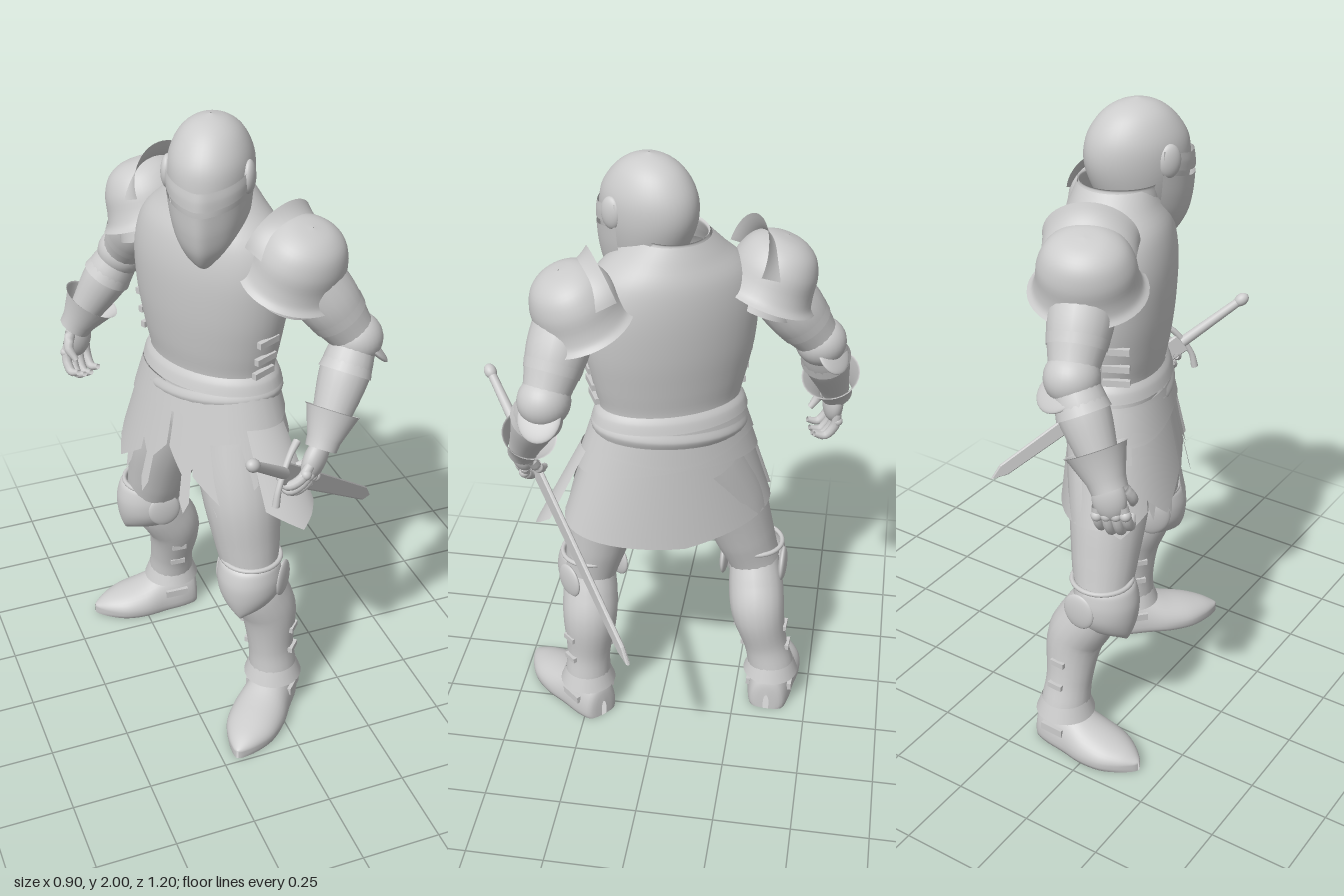
import * as THREE from 'three';

const V = (x, y, z) => new THREE.Vector3(x, y, z);
const mat = new THREE.MeshStandardMaterial({ color: 0xcccccc, side: THREE.DoubleSide });
const TAU = Math.PI * 2;

function add(parent, name, geo, pos) {
  const m = new THREE.Mesh(geo, mat);
  m.name = name;
  if (pos) m.position.copy(pos);
  parent.add(m);
  return m;
}
function group(parent, name, x = 0, y = 0, z = 0, turn = 0) {
  const g = new THREE.Group();
  g.name = name;
  g.position.set(x, y, z);
  g.rotation.y = turn;
  parent.add(g);
  return g;
}
// Grid surface from a rule fn(u, v) -> Vector3
function surf(fn, nu, nv, closed = false) {
  const pos = [], idx = [], cols = closed ? nu : nu + 1;
  for (let j = 0; j <= nv; j++)
    for (let i = 0; i < cols; i++) pos.push(...fn(i / nu, j / nv).toArray());
  for (let j = 0; j < nv; j++)
    for (let i = 0; i < nu; i++) {
      const k = (i + 1) % cols, a = j * cols + i, b = j * cols + k;
      idx.push(a, b, b + cols, a, b + cols, a + cols);
    }
  const g = new THREE.BufferGeometry();
  g.setAttribute('position', new THREE.Float32BufferAttribute(pos, 3));
  g.setIndex(idx);
  g.computeVertexNormals();
  return g;
}
// Smooth interpolation through rows of numbers
function sample(rows, v) {
  const n = rows.length - 1, i = Math.min(Math.floor(v * n), n - 1), t = v * n - i;
  const r = k => rows[Math.max(0, Math.min(n, k))];
  return rows[0].map((_, c) => {
    const p = r(i - 1)[c], q = r(i)[c], s = r(i + 1)[c], w = r(i + 2)[c];
    return q + 0.5 * t * (s - p + t * (2 * p - 5 * q + 4 * s - w + t * (3 * (q - s) + w - p)));
  });
}
// Stacked sections [y, half width, front depth, back depth]; angle 0 is the front
function hull(rows, a0 = 0, a1 = TAU, mod = p => p) {
  return surf((u, v) => {
    const a = a0 + (a1 - a0) * u, [y, w, f, b] = sample(rows, v), c = Math.cos(a);
    return mod(V(w * Math.sin(a), y, c > 0 ? f * c : b * c), a);
  }, 40, 32, a1 - a0 > 6.28);
}
// Round limb through points with a radius at each
function limb(pts, radii, nu = 20, nv = 24) {
  const path = new THREE.CatmullRomCurve3(pts), rr = radii.map(r => [r]);
  return surf((u, v) => {
    const t = path.getTangent(v), ref = Math.abs(t.y) > 0.8 ? V(0, 0, 1) : V(0, 1, 0);
    const n = ref.cross(t).normalize(), b = t.clone().cross(n), r = sample(rr, v)[0];
    return path.getPoint(v).addScaledVector(n, r * Math.cos(u * TAU)).addScaledVector(b, r * Math.sin(u * TAU));
  }, nu, nv, true);
}
function ball(parent, name, p, sx, sy, sz) {
  const m = add(parent, name, new THREE.SphereGeometry(1, 28, 20), p);
  m.scale.set(sx, sy, sz);
  return m;
}
const mix = (a, b, t) => a.clone().lerp(b, t);

function buildHelmet(root) {
  const g = group(root, 'helmet', -0.113, 0, 0.05, -0.55);
  add(g, 'skull', hull([[1.62, .06, .11, .03], [1.67, .088, .145, .085], [1.74, .11, .16, .13], [1.82, .123, .163, .158],
    [1.89, .119, .152, .152], [1.95, .092, .11, .115], [1.985, .052, .06, .063], [2.0, .002, .002, .002]]));
  // Visor plates with a centre ridge; the sight slit climbs toward the sides
  const ridge = lift => (p, a) => V(p.x, p.y + lift * (1 - Math.cos(a)), p.z + .012 * Math.exp(-((a / .3) ** 2)));
  add(g, 'lowerVisor', hull([[1.585, .06, .1, 0], [1.59, .08, .122, 0], [1.64, .104, .155, 0], [1.7, .118, .17, 0], [1.765, .126, .175, 0]], -1.45, 1.45, ridge(.045)));
  add(g, 'upperVisor', hull([[1.782, .128, .175, 0], [1.81, .13, .173, 0], [1.835, .128, .168, 0]], -1.45, 1.45, ridge(.045)));
  for (const s of [-1, 1]) ball(g, 'visorPivot', V(s * .115, 1.84, .045), .02, .05, .036);
}

function buildBody(root) {
  const g = group(root, 'body', -0.09, 0, -0.018, -1.12);
  add(g, 'cuirass', hull([[1.14, .235, .15, .14], [1.21, .225, .15, .13], [1.3, .245, .165, .142], [1.42, .268, .178, .158],
    [1.55, .272, .18, .165], [1.65, .24, .163, .158], [1.72, .17, .13, .135], [1.77, .12, .11, .115]]));
  add(g, 'waistFlange', hull([[1.22, .226, .153, .134], [1.2, .24, .165, .146], [1.17, .25, .175, .155]]));
  add(g, 'gorget', hull([[1.7, .15, .13, .14], [1.735, .125, .125, .125], [1.77, .108, .125, .11], [1.78, .113, .13, .115]]));
  const belt = add(g, 'belt', hull([[-.025, .246, .172, .15], [0, .254, .18, .158], [.025, .246, .172, .15]]), V(0, 1.135, 0));
  belt.rotation.z = .09;
  // Side buckles
  for (const s of [-1, 1]) for (const y of [1.24, 1.29, 1.35])
    add(g, 'sideBuckle', new THREE.BoxGeometry(.016, .02, .08), V(s * (.236 + (y - 1.24) * .17), y, .03));
  // Hip plates hang from the waist and flare with depth
  const plate = (name, a0, a1, top, hem, off, swing = 0) => add(g, name, surf((u, v) => {
    const a = a0 + (a1 - a0) * u, y = top + (hem(u) - top) * v, d = 1.14 - y, c = Math.cos(a);
    return V((.235 + d * (.33 + swing) + off) * Math.sin(a), y, .015 + (.14 + d * (c > 0 ? .23 : .1) + off) * c);
  }, 32, 8));
  const point = u => 1 - Math.abs(2 * u - 1);
  plate('upperFauld', 0, TAU, 1.16, u => 1.06 + .02 * Math.cos(u * TAU * 3), .02);
  plate('lowerFauld', 1.2, TAU - 1.2, 1.09, u => .99 + .04 * point(u), .014);
  plate('backSkirt', 1.2, TAU - 1.2, 1.04, u => .82 - .08 * point(u), 0);
  for (const s of [-1, 1]) {
    plate('hipTasset', s * 1.0, s * 1.75, 1.07, u => .84 - .06 * point(u), .01, s > 0 ? .22 : 0);
    plate('frontTasset', s * .35, s * 1.1, 1.07, u => .9 - .09 * point(u), .014);
    plate('innerTasset', s * .02, s * .45, 1.07, u => .96 - .08 * point(u), .006);
    for (const a of [.2, .55, .85])
      plate('hangingStrip', s * a, s * (a + .11), 1.05, u => .79 + a * .06 - .04 * point(u), 0);
  }
  // Shoulder guards: tilted bells with a raised inner crest, higher on the right
  for (const s of [-1, 1]) {
    const p = group(g, s > 0 ? 'leftShoulderGuard' : 'rightShoulderGuard', s * .3, s > 0 ? 1.585 : 1.6, -.045);
    p.rotation.z = -s * .36;
    const prof = [[.002, .142], [.065, .134], [.115, .105], [.143, .055], [.152, 0], [.163, -.035], [.18, -.052]];
    const bell = add(p, 'shoulderBell', new THREE.LatheGeometry(new THREE.SplineCurve(prof.map(q => new THREE.Vector2(...q))).getPoints(24), 40));
    bell.scale.set(.88, 1, .95);
    const rise = s > 0 ? .03 : .05;
    add(p, 'shoulderCrest', surf((u, v) => {
      const a = (u - .5) * 2.5, r = .125 + rise * v * v * Math.cos(a * 1.2);
      return V(-s * (.03 + .075 * v), r * Math.cos(a), (r + .015) * Math.sin(a));
    }, 28, 8));
    add(p, 'shoulderLame', new THREE.CylinderGeometry(.1, .112, .07, 28, 1, true), V(s * .01, -.06, .01));
  }
}

function buildLeg(root, side, hip, thigh, knee, shin, ankle, turn, reach) {
  const g = group(root, side + 'Leg');
  add(g, 'thighPlate', limb([hip, thigh, mix(thigh, knee, .6), knee], [.135, .122, .102, .088]));
  add(g, 'greave', limb([knee, mix(knee, shin, .5), shin, mix(shin, ankle, .6), ankle], [.083, .092, .091, .074, .078]));
  add(g, 'ankleFlare', new THREE.CylinderGeometry(.076, .094, .05, 28, 1, true), ankle);
  // Knee guard: shield-shaped cop, side fans and an upper band
  const k = group(g, 'kneeGuard', knee.x, knee.y, knee.z, turn);
  add(k, 'kneeCap', hull([[.07, .094, .094, 0], [.055, .1, .108, 0], [.01, .106, .12, 0], [-.04, .099, .119, 0],
    [-.085, .07, .11, 0], [-.115, .02, .098, 0], [-.12, .002, .088, 0]], -1.57, 1.57));
  for (const s of [-1, 1]) ball(k, 'kneeFan', V(s * .1, -.005, -.015), .014, .06, .055);
  const band = add(k, 'kneeBand', new THREE.TorusGeometry(.092, .008, 10, 32), V(0, .07, 0));
  band.rotation.x = Math.PI / 2;
  for (const t of [.25, .6]) {
    const b = add(g, 'greaveBuckle', new THREE.BoxGeometry(.05, .018, .19 - t * .04), mix(shin, ankle, t));
    b.rotation.y = turn + 1.57;
  }
  // Shoe: sections [z, half width, height], flat underneath, pointed toe
  const f = group(g, 'shoe', ankle.x, 0, ankle.z, turn);
  const rows = [[-.088, .01, .06], [-.078, .055, .12], [-.03, .073, .15], [.04, .08, .132], [.11, .09, .1],
    [.18, .082, .078], [.235, .052, .058], [.27, .02, .038], [.28, .004, .03]];
  add(f, 'shoeUpper', surf((u, v) => {
    const a = u * TAU, [z, w, h] = sample(rows, v), s = Math.sin(a);
    return V(w * Math.cos(a), s > 0 ? .025 + (h - .025) * s : .025 * (1 - Math.min(1, -3 * s)), z > 0 ? z * reach : z);
  }, 36, 32, true));
  for (const s of [-1, 1]) add(f, 'shoeBuckle', new THREE.BoxGeometry(.014, .025, .08), V(s * .072, .07, 0));
}

function buildArm(root, side, shoulder, elbow, wrist, outward, dir, across, curl, cuffSize) {
  const g = group(root, side + 'Arm');
  const up = elbow.clone().sub(shoulder).normalize(), low = wrist.clone().sub(elbow).normalize();
  add(g, 'upperArm', limb([shoulder, mix(shoulder, elbow, .5), elbow], [.09, .094, .068]));
  add(g, 'forearm', limb([elbow, mix(elbow, wrist, .35), wrist], [.064, .075, .048]));
  const along = (mesh, d) => mesh.quaternion.setFromUnitVectors(V(0, 1, 0), d);
  along(add(g, 'armBand', new THREE.CylinderGeometry(.085, .09, .03, 28, 1, true), mix(shoulder, elbow, .68)), up);
  // Elbow cop and its fan
  ball(g, 'elbowCap', elbow, .08, .078, .08);
  const fan = ball(g, 'elbowFan', elbow.clone().addScaledVector(outward, .045).add(V(0, -.03, 0)), .078, .014, .066);
  along(fan, outward.clone().add(V(0, .9, 0)).normalize());
  along(add(g, 'forearmBand', new THREE.CylinderGeometry(.08, .074, .03, 28, 1, true), mix(elbow, wrist, .3)), low);
  const prof = [[.05, .05], [.054, .02], [.068, -.02], [.084, -.065], [.09, -.068]];
  const cuff = add(g, 'gauntletCuff', new THREE.LatheGeometry(prof.map(p => new THREE.Vector2(...p)), 28), mix(elbow, wrist, .93));
  along(cuff, low);
  cuff.scale.set(cuffSize, 1, cuffSize);
  // Hand
  const at = (d, k, c) => wrist.clone().addScaledVector(dir, d).addScaledVector(across, k).addScaledVector(curl, c);
  const palm = ball(g, 'palm', at(.06, 0, 0), .05, .07, .032);
  palm.quaternion.setFromRotationMatrix(new THREE.Matrix4().makeBasis(across, dir, across.clone().cross(dir)));
  for (let i = 0; i < 4; i++) {
    const k = (i - 1.5) * .027, l = i === 0 || i === 3 ? .92 : 1;
    add(g, 'finger', limb([at(.08, k * .9, -.006), at(.14 * l, k, 0), at(.18 * l, k, .03), at(.168 * l, k, .068)], [.015, .016, .0145, .009], 10, 12));
    ball(g, 'knuckle', at(.11, k, -.008), .017, .017, .017);
  }
  add(g, 'thumb', limb([at(.03, .04, .01), at(.075, .058, .03), at(.11, .048, .06)], [.018, .016, .01], 10, 10));
}

function buildSword(root) {
  const a = V(-.2, 1.195, .59), b = V(.44, .57, .03), len = a.distanceTo(b), y = b.clone().sub(a).normalize();
  const x = V(-.35, -.6, .27); // cross guard direction
  x.addScaledVector(y, -x.dot(y)).normalize();
  const g = group(root, 'sword');
  g.position.copy(a);
  g.quaternion.setFromRotationMatrix(new THREE.Matrix4().makeBasis(x, y, x.clone().cross(y)));
  ball(g, 'pommel', V(0, .01, 0), .02, .026, .02);
  add(g, 'grip', new THREE.CylinderGeometry(.018, .014, .24, 16), V(0, .13, 0));
  add(g, 'crossGuard', limb([V(-.1, .27, 0), V(-.05, .25, 0), V(.05, .25, 0), V(.1, .27, 0)], [.012, .01, .01, .012], 10, 16));
  const s = new THREE.Shape([[-.03, .25], [.03, .25], [.019, len - .05], [0, len], [-.019, len - .05]].map(p => new THREE.Vector2(...p)));
  add(g, 'blade', new THREE.ExtrudeGeometry(s, { depth: .006, bevelThickness: .004, bevelSize: .004, bevelSegments: 1 }), V(0, 0, -.003));
}

export function createModel() {
  const root = new THREE.Group();
  root.name = 'armouredKnight';
  buildHelmet(root);
  buildBody(root);
  ball(root, 'hips', V(-.11, .97, 0), .12, .14, .2);
  buildLeg(root, 'left', V(-.07, .98, .12), V(-.075, .8, .19), V(-.065, .54, .245), V(-.005, .38, .24), V(.01, .14, .25), -.74, 1.13);
  buildLeg(root, 'right', V(-.14, .98, -.12), V(-.185, .8, -.2), V(-.22, .53, -.29), V(-.14, .37, -.315), V(-.135, .14, -.37), -1.62, 1.02);
  const unit = (x, y, z) => V(x, y, z).normalize();
  buildArm(root, 'left', V(.07, 1.61, .25), V(.235, 1.36, .305), V(.095, 1.1, .41), unit(.9, 0, .1),
    unit(-.52, -.8, .25), unit(.6, -.55, -.55), unit(-.56, .18, -.81), .95);
  buildArm(root, 'right', V(-.175, 1.61, -.295), V(-.235, 1.37, -.465), V(-.38, 1.12, -.515), unit(.35, 0, -.8),
    unit(-.14, -1, .04), unit(-.9, .1, .35), unit(.36, 0, .9), 1.05);
  buildSword(root);
  return root;
}
